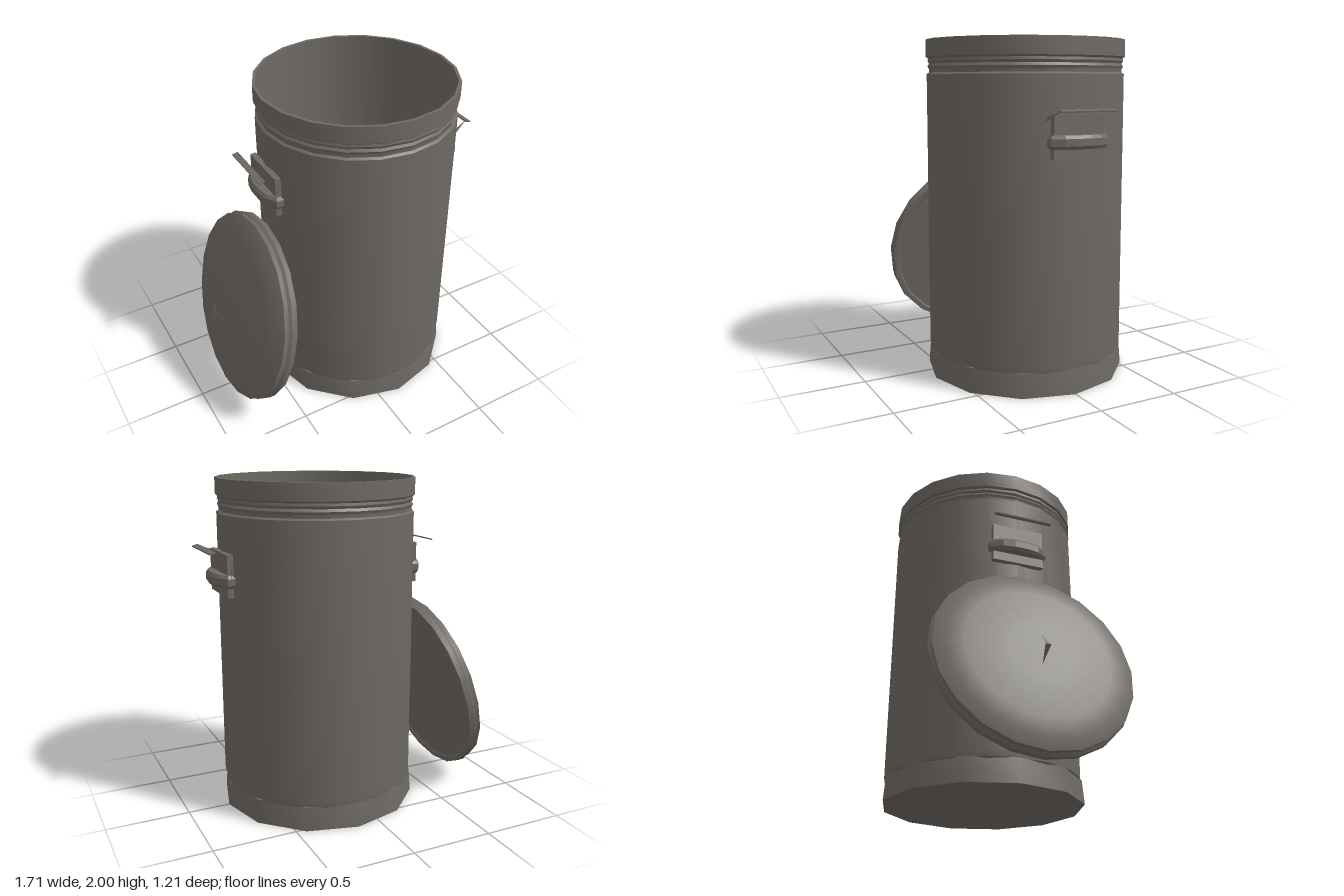
import * as THREE from 'three';
import { toCreasedNormals } from 'three/addons/utils/BufferGeometryUtils.js';

const metal = new THREE.MeshStandardMaterial({ color: 0x6e6963, side: THREE.DoubleSide });
metal.name = 'dull grey metal';

function part(name, geometry, parent) {
  const mesh = new THREE.Mesh(geometry, metal);
  mesh.name = name;
  parent.add(mesh);
  return mesh;
}

// Turned shape from [radius, height] pairs, smooth around and sharp at the steps
function turned(profile, sides, crease) {
  const points = profile.map(([r, y]) => new THREE.Vector2(r, y));
  return toCreasedNormals(new THREE.LatheGeometry(points, sides), crease);
}

// Loose thin strips of bent metal, three corners each
function shards(...corners) {
  const g = new THREE.BufferGeometry();
  g.setAttribute('position', new THREE.Float32BufferAttribute(corners.flat(), 3));
  g.computeVertexNormals();
  return g;
}

// Side handle on +x, measured from the axis of the can
function makeHandle(name) {
  const handle = new THREE.Group();
  handle.name = name;

  const plate = part('handlePlate', new THREE.BoxGeometry(0.035, 0.245, 0.32), handle);
  plate.position.set(0.594, 1.467, 0);

  // Bowed grip with bevelled upper and lower edges
  const outline = new THREE.Shape([
    [0.585, -0.17], [0.61, -0.17], [0.645, -0.11], [0.658, -0.04],
    [0.658, 0.04], [0.645, 0.11], [0.61, 0.17], [0.585, 0.17],
  ].map(([x, y]) => new THREE.Vector2(x, y)));
  const grip = new THREE.ExtrudeGeometry(outline, {
    depth: 0.04, bevelEnabled: true, bevelSize: 0.012, bevelThickness: 0.018, bevelSegments: 1,
  });
  grip.rotateX(-Math.PI / 2);
  part('handleGrip', grip, handle).position.y = 1.418;

  // Thin slat standing off above the grip
  const slat = part('handleSlat', new THREE.BoxGeometry(0.036, 0.008, 0.36), handle);
  slat.position.set(0.697, 1.607, 0);
  slat.rotation.z = -0.25;
  return handle;
}

export function createModel() {
  const model = new THREE.Group();
  model.name = 'dustbin';

  const can = new THREE.Group();
  can.name = 'can';
  can.position.x = 0.14;
  model.add(can);

  // Open body: grooved neck, upper lip, inner wall and floor
  part('canBody', turned([
    [0.565, 0.13], [0.588, 0.145], [0.592, 0.18], [0.588, 1.8], [0.575, 1.81],
    [0.575, 1.83], [0.583, 1.845], [0.574, 1.86], [0.582, 1.875], [0.579, 1.89],
    [0.592, 1.9], [0.592, 2], [0.574, 2], [0.57, 0.03], [0, 0.03],
  ], 20, 0.5), can);

  // Flared twelve-sided foot
  part('canFoot', turned([[0, 0], [0.605, 0], [0.593, 0.145], [0.56, 0.15]], 12, 0.6), can);

  can.add(makeHandle('leftHandle'));
  const rightHandle = makeHandle('rightHandle');
  rightHandle.rotation.y = Math.PI;
  can.add(rightHandle);

  // Bent brackets at the ends of the left handle
  part('handleBrackets', shards(
    [0.575, 1.54, 0.2], [0.59, 1.578, 0.185], [0.7, 1.61, 0.16],
    [0.575, 1.48, 0.175], [0.59, 1.54, 0.2], [0.59, 1.6, 0.165],
    [0.59, 1.54, -0.185], [0.6, 1.44, -0.19], [0.595, 1.45, -0.16],
  ), can);

  // Domed lid leaning against the can
  const lid = part('lid', turned([
    [0, 0.01], [0.55, 0.01], [0.56, 0], [0.59, 0], [0.595, 0.035], [0.58, 0.05],
    [0.585, 0.08], [0.52, 0.108], [0.43, 0.128], [0.2, 0.139], [0, 0.142],
  ], 20, 0.5), model);
  lid.position.set(-0.61, 0.618, 0);
  lid.rotation.z = 1.323;

  // Remains of the lid's knob
  part('lidKnob', shards(
    [-0.83, 0.7, -0.03], [-0.858, 0.64, -0.02], [-0.845, 0.647, 0.02],
    [-0.858, 0.64, -0.02], [-0.845, 0.647, 0.02], [-0.77, 0.56, 0],
  ), model);

  return model;
}
